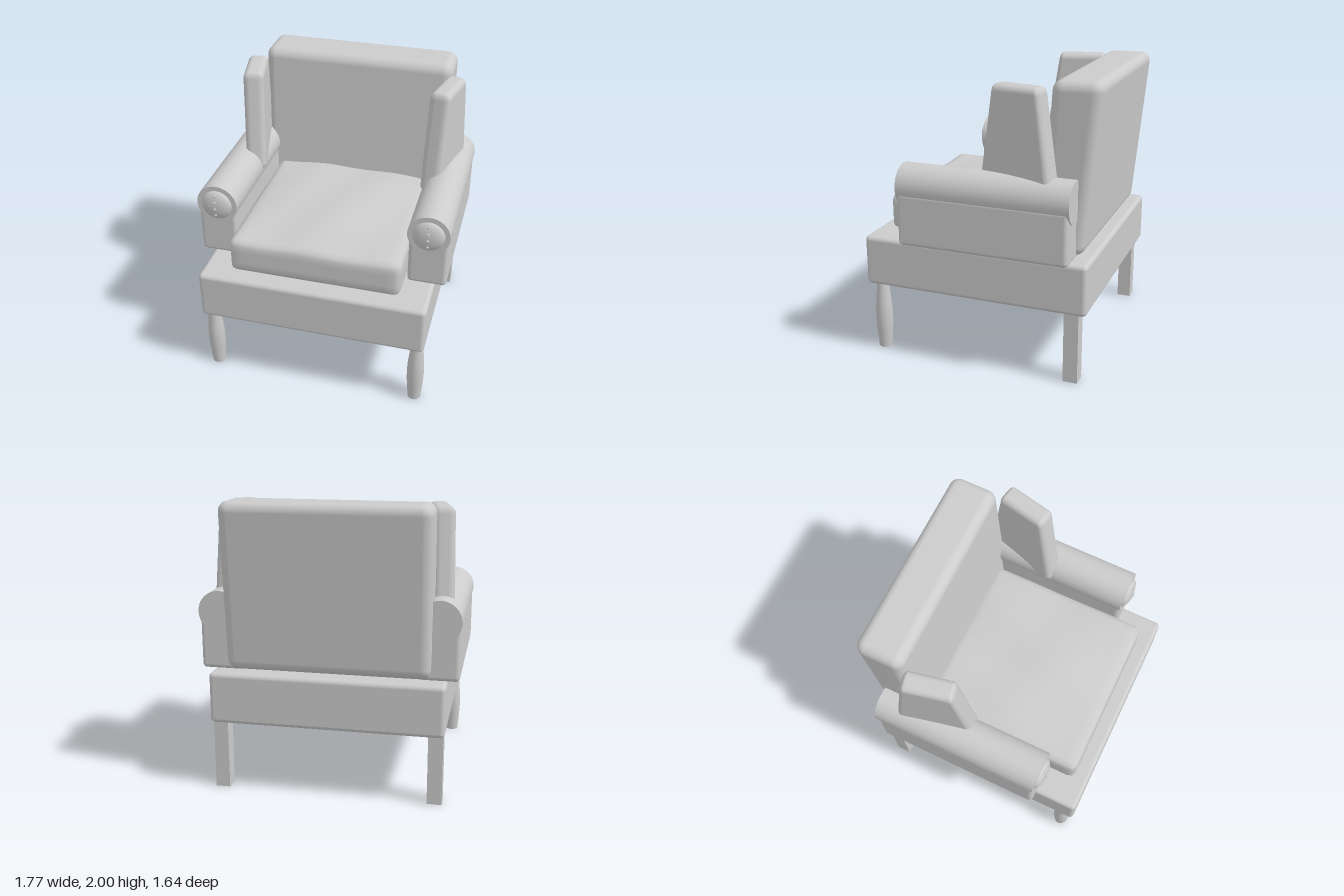
import * as THREE from 'three';
import { RoundedBoxGeometry } from 'three/addons/geometries/RoundedBoxGeometry.js';
import { mergeVertices } from 'three/addons/utils/BufferGeometryUtils.js';

const material = new THREE.MeshStandardMaterial({ color: 0xcccccc });
const { lerp, clamp } = THREE.MathUtils;

function add(parent, name, geometry, x = 0, y = 0, z = 0) {
  const mesh = new THREE.Mesh(geometry, material);
  mesh.name = name;
  mesh.position.set(x, y, z);
  parent.add(mesh);
  return mesh;
}

// Moves every vertex by a rule, then welds and smooths the surface
function warp(geometry, rule) {
  const pos = geometry.attributes.position;
  const v = new THREE.Vector3();
  for (let i = 0; i < pos.count; i++) {
    rule(v.fromBufferAttribute(pos, i));
    pos.setXYZ(i, v.x, v.y, v.z);
  }
  geometry.deleteAttribute('uv');
  geometry.deleteAttribute('normal');
  const welded = mergeVertices(geometry, 1e-5);
  welded.computeVertexNormals();
  return welded;
}

// Softly lumpy seat cushion: a subdivided box with rounded edges and a crowned top
function cushionGeometry(w, h, d, r) {
  const inner = new THREE.Vector3();
  return warp(new THREE.BoxGeometry(w, h, d, 26, 6, 26), (v) => {
    const hx = w / 2 - r, hy = h / 2 - r, hz = d / 2 - r;
    inner.set(clamp(v.x, -hx, hx), clamp(v.y, -hy, hy), clamp(v.z, -hz, hz));
    v.sub(inner);
    if (v.lengthSq() > 0) v.setLength(r);
    v.add(inner);
    const top = clamp(v.y / h + 0.5, 0, 1);
    const crown = 0.045 * Math.cos(v.x * Math.PI / w) * Math.cos(v.z * Math.PI / d * 0.9);
    const ripple = 0.006 * Math.sin(v.x * 11 + v.z * 4) + 0.005 * Math.sin(v.z * 9 - v.x * 3);
    v.y += top * top * (crown + ripple);
  });
}

export function createModel() {
  const chair = new THREE.Group();
  chair.name = 'armchair';

  // Seat base and cushion
  add(chair, 'seatBase', new RoundedBoxGeometry(1.6, 0.355, 1.6, 4, 0.03), 0, 0.665, 0.025);
  add(chair, 'seatCushion', cushionGeometry(1.2, 0.25, 1.2, 0.045), 0, 0.97, 0.12);

  // Reclined backrest, slightly thicker towards the top
  const back = warp(new RoundedBoxGeometry(1.39, 1.15, 1, 5, 0.07), (v) => {
    const t = v.y / 1.15 + 0.5;
    const thickness = lerp(0.3, 0.335, t);
    // keep the edge rounding while shrinking the unit depth
    const side = Math.sign(v.z);
    const depth = side * (thickness / 2 - (0.5 - Math.abs(v.z)));
    v.z = lerp(-0.56, -0.65, t) + depth;
  });
  add(chair, 'backrest', back, 0, 1.425, 0);

  // Wing panel tapering towards the top
  const wing = warp(new RoundedBoxGeometry(0.145, 0.73, 0.565, 4, 0.045), (v) => {
    v.z *= lerp(1, 0.6, v.y / 0.73 + 0.5);
  });

  // Turned front leg
  const leg = new THREE.LatheGeometry(
    new THREE.SplineCurve([
      [0.046, 0], [0.052, 0.08], [0.059, 0.18], [0.059, 0.28], [0.05, 0.39], [0.04, 0.5],
    ].map(([r, y]) => new THREE.Vector2(r, y))).getPoints(20), 24);

  const dome = new THREE.SphereGeometry(0.11, 32, 10, 0, Math.PI * 2, 0, Math.PI / 2)
    .rotateX(Math.PI / 2).scale(1, 1, 0.42);
  const roll = new THREE.CylinderGeometry(0.145, 0.145, 1.2, 40).rotateX(Math.PI / 2);
  const armPanel = new RoundedBoxGeometry(0.27, 0.37, 1.19, 4, 0.03);
  const button = new THREE.SphereGeometry(0.01, 12, 8);

  for (const s of [-1, 1]) {
    const side = s > 0 ? 'left' : 'right';
    const arm = new THREE.Group();
    arm.name = side + 'Arm';
    chair.add(arm);
    add(arm, 'armPanel', armPanel, s * 0.745, 1.03, -0.073);
    add(arm, 'armRoll', roll, s * 0.742, 1.245, -0.076);
    add(arm, 'armRosette', dome, s * 0.742, 1.245, 0.522);

    // Column of small buttons following the rosette's curve
    for (const dy of [0.085, 0.038, -0.012, -0.066]) {
      const z = 0.522 + 0.42 * Math.sqrt(0.11 ** 2 - dy ** 2);
      add(arm, 'rosetteButton', button, s * 0.742, 1.245 + dy, z);
    }

    add(chair, side + 'Wing', wing, s * 0.7, 1.595, -0.28).rotation.y = -s * 0.213;
    add(chair, side + 'FrontLeg', leg, s * 0.742, 0, 0.73);
    add(chair, side + 'FrontLegFoot', new THREE.CircleGeometry(0.046, 24).rotateX(Math.PI / 2),
      s * 0.742, 0, 0.73);
    add(chair, side + 'BackLeg', new THREE.BoxGeometry(0.1, 0.5, 0.1), s * 0.74, 0.25, -0.675);
  }
  return chair;
}
